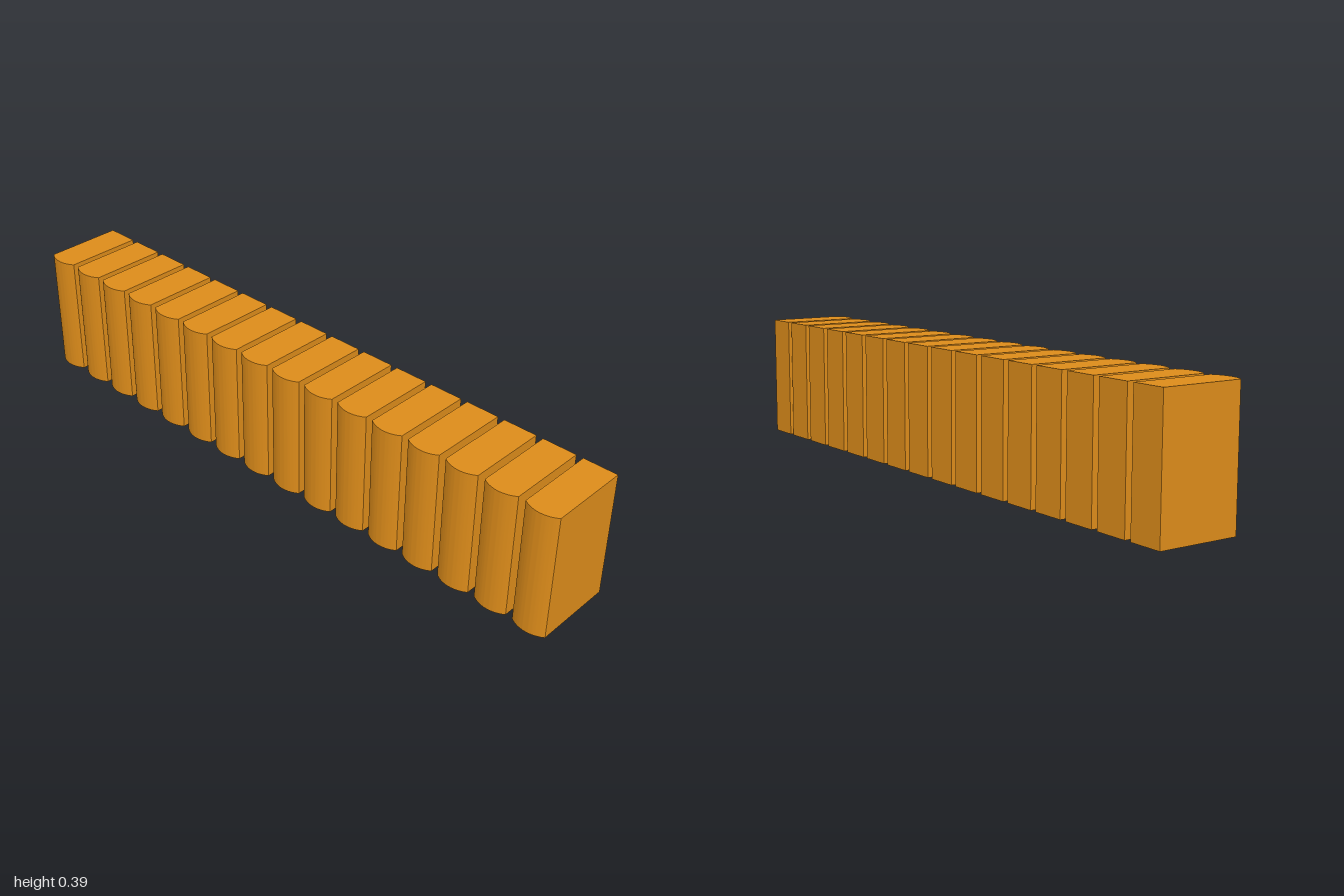
import * as THREE from 'three';
import { toCreasedNormals } from 'three/addons/utils/BufferGeometryUtils.js';

const COUNT = 16;
const WIDTH = 0.105;
const HEIGHT = 0.39;
const BACK = -0.133;  // flat rear face
const SIDE = 0.116;   // where the flat sides meet the bowed front
const FRONT = 0.133;  // crest of the bowed front

// Upright slab with a shallow rounded front, extruded from its plan outline
function slabGeometry() {
  const half = WIDTH / 2;
  const rise = FRONT - SIDE;
  const radius = (half * half + rise * rise) / (2 * rise);
  const angle = Math.asin(half / radius);

  // Plan outline, with shape y = -z
  const plan = new THREE.Shape();
  plan.moveTo(half, -BACK);
  plan.lineTo(-half, -BACK);
  plan.lineTo(-half, -SIDE);
  plan.absarc(0, radius - FRONT, radius, -Math.PI / 2 - angle, -Math.PI / 2 + angle, false);
  plan.closePath();

  const geometry = new THREE.ExtrudeGeometry(plan, {
    depth: HEIGHT, bevelEnabled: false, curveSegments: 16,
  });
  geometry.rotateX(-Math.PI / 2);
  return toCreasedNormals(geometry, Math.PI / 7);
}

export function createModel() {
  const model = new THREE.Group();
  model.name = 'slabRow';
  const material = new THREE.MeshStandardMaterial({ color: 0xdd8c1a });
  const geometry = slabGeometry();

  // Evenly spaced row with narrow open gaps
  const pitch = (2 - WIDTH) / (COUNT - 1);
  for (let i = 0; i < COUNT; i++) {
    const slab = new THREE.Mesh(geometry, material);
    slab.name = `slab${i + 1}`;
    slab.position.x = -1 + WIDTH / 2 + i * pitch;
    model.add(slab);
  }
  return model;
}
